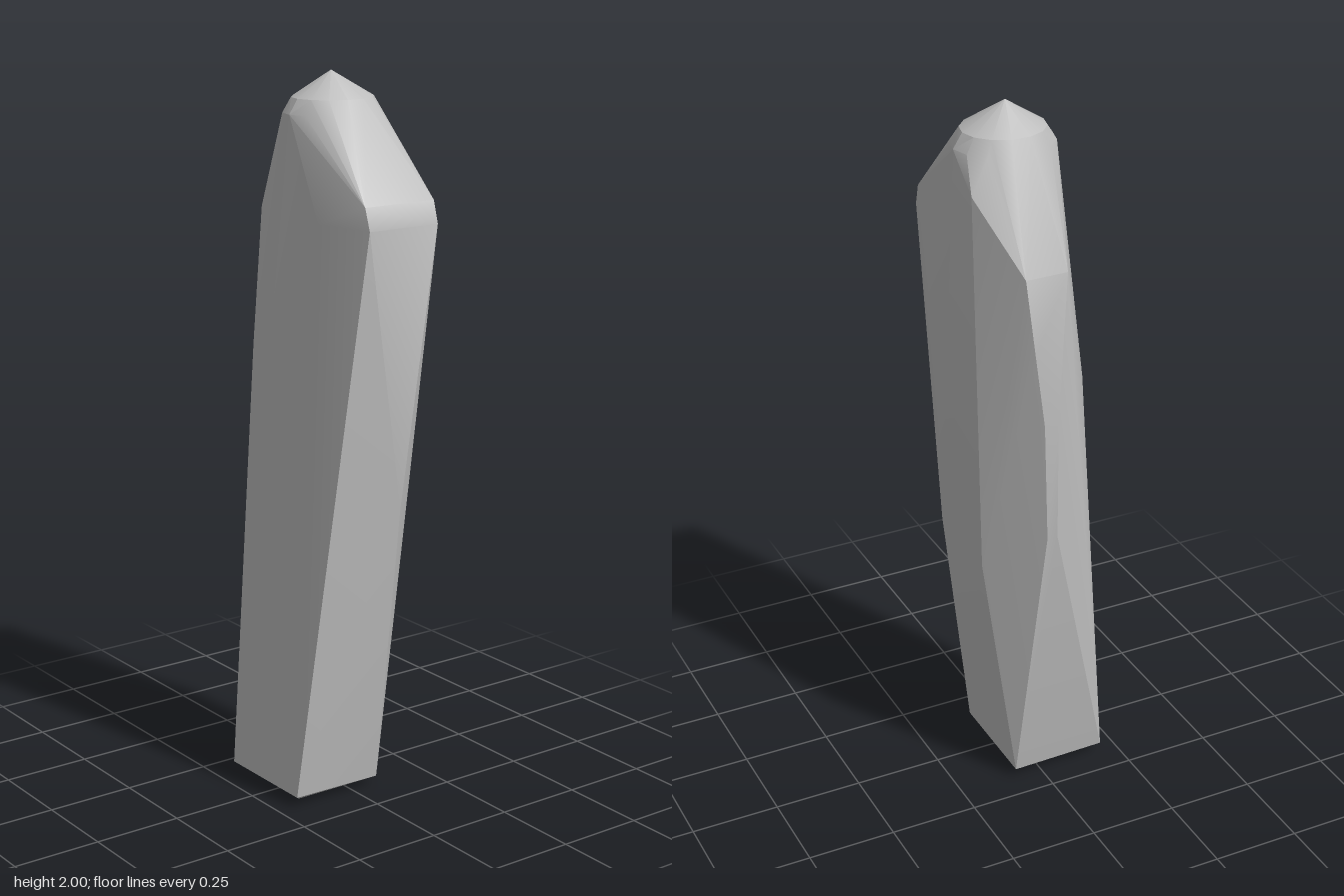
import * as THREE from 'three';
import { ConvexGeometry } from 'three/addons/geometries/ConvexGeometry.js';
import { toCreasedNormals } from 'three/addons/utils/BufferGeometryUtils.js';

// Elliptical ring of points around the pointed tip
function ring(y, rx, rz, count, cx = -0.02, cz = -0.042) {
  return Array.from({ length: count }, (_, i) => {
    const a = (i / count) * Math.PI * 2;
    return [cx + rx * Math.sin(a), y, cz + rz * Math.cos(a)];
  });
}

export function createModel() {
  const stone = new THREE.MeshStandardMaterial({ color: 0xbcbcbc });
  stone.name = 'paleGreyStone';

  const corners = [
    // tip and its two rounded shoulders
    [-0.02, 2, -0.037],
    ...ring(1.93, 0.105, 0.115, 14),
    ...ring(1.89, 0.12, 0.141, 14),
    // bevelled shoulder on the +x side
    [0.28, 1.68, 0.075], [0.28, 1.68, -0.15],
    [0.3, 1.62, 0.075], [0.3, 1.62, -0.148],
    [0.265, 0.85, -0.06],
    // narrow ridge on the -x side
    [-0.265, 1.61, 0.02], [-0.268, 1.61, -0.1],
    [-0.285, 1.4, -0.08], [-0.285, 1.2, 0],
    [-0.3, 1.2, -0.06], [-0.3, 1.2, -0.02],
    [-0.3, 0.86, -0.05], [-0.3, 0.86, -0.02],
    // front face
    [0.13, 1.62, 0.114], [-0.168, 1.25, 0.118],
    [-0.165, 0.1, 0.192], [0.135, 0.1, 0.192],
    // chipped back
    [-0.13, 1.8, -0.184], [0.01, 1.24, -0.197], [0.09, 1.2, -0.19],
    [-0.155, 0.73, -0.175], [0.11, 0.74, -0.172],
    // foot
    [-0.172, 0.03, 0.195], [0.14, 0.03, 0.195],
    [-0.172, 0.025, -0.08], [0.14, 0.025, -0.08],
    [-0.13, 0.004, 0.16], [0.1, 0.004, 0.16],
    [-0.12, 0, 0.1], [0.09, 0, 0.1],
    [-0.12, 0.003, 0.02], [0.09, 0.003, 0.02],
  ].map((p) => new THREE.Vector3(...p));

  const body = new THREE.Mesh(toCreasedNormals(new ConvexGeometry(corners), 0.4), stone);
  body.name = 'standingStone';

  const group = new THREE.Group();
  group.name = 'stonePillar';
  group.add(body);
  return group;
}
